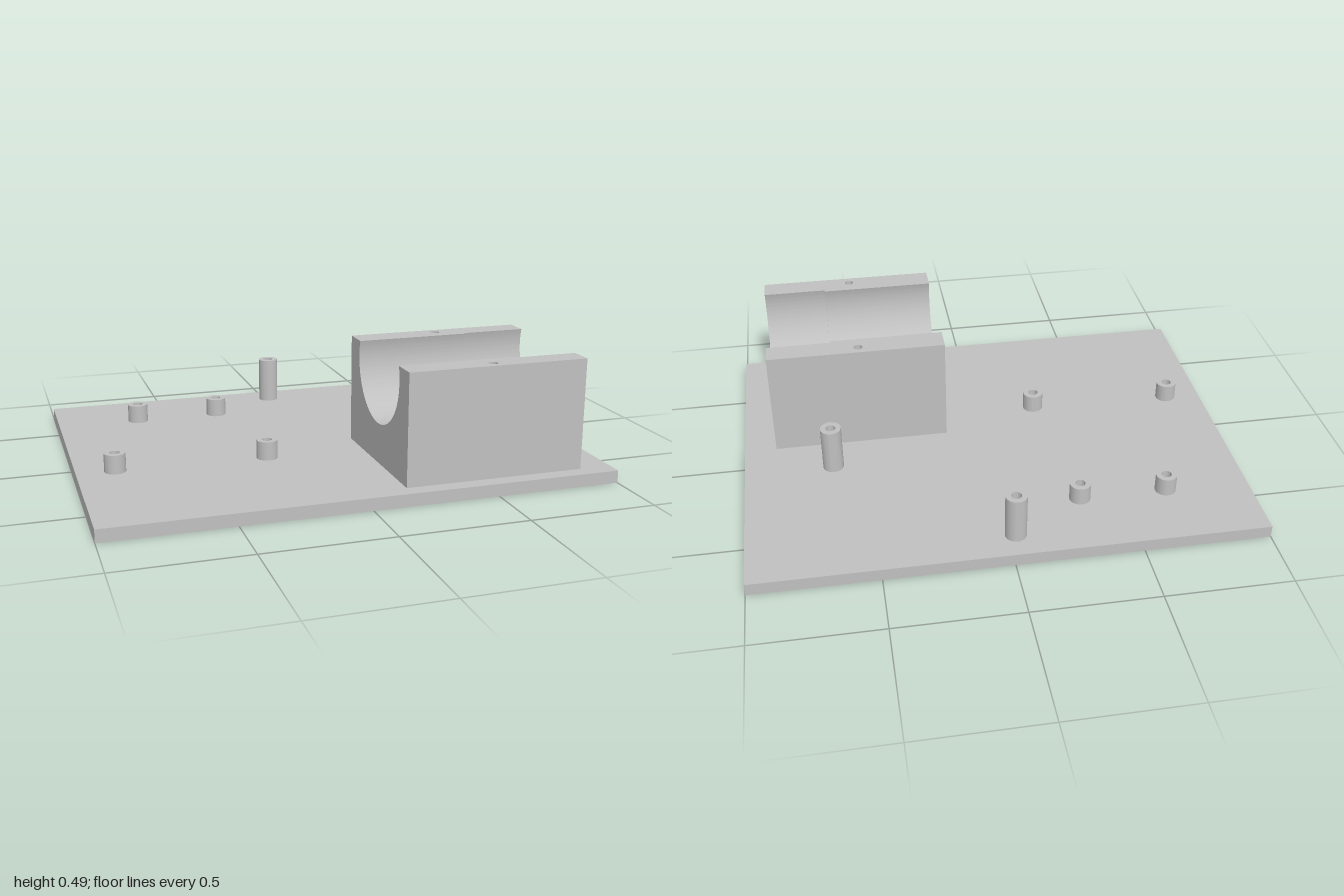
import * as THREE from 'three';
import { toCreasedNormals } from 'three/addons/utils/BufferGeometryUtils.js';

const grey = new THREE.MeshStandardMaterial({ color: 0xc0c0c0 });
grey.name = 'plain grey';

const PLATE = 0.05, TOP = 0.49, AXIS_Y = 0.43, HALF = 0.315;
const X0 = 0.15, X_STEP = 0.61, X1 = 0.87;
const R_SMALL = 0.22, R_LARGE = 0.23;

function add(parent, geometry, name, x = 0, y = 0, z = 0) {
  const mesh = new THREE.Mesh(geometry, grey);
  mesh.name = name;
  mesh.position.set(x, y, z);
  parent.add(mesh);
  return mesh;
}

// Removes the faces lying flat at the given height
function withoutTop(geometry, y) {
  const p = geometry.attributes.position, kept = [];
  for (let i = 0; i < p.count; i += 3) {
    if ([0, 1, 2].every(k => Math.abs(p.getY(i + k) - y) < 1e-5)) continue;
    for (let k = 0; k < 3; k++) kept.push(p.getX(i + k), p.getY(i + k), p.getZ(i + k));
  }
  const out = new THREE.BufferGeometry();
  out.setAttribute('position', new THREE.Float32BufferAttribute(kept, 3));
  return out;
}

// One length of the cradle block with a round bore open at the top
function cradleSection(radius, length) {
  const a = Math.asin((TOP - AXIS_Y) / radius);
  const shape = new THREE.Shape();
  shape.moveTo(-HALF, PLATE);
  shape.lineTo(HALF, PLATE);
  shape.lineTo(HALF, TOP);
  shape.absarc(0, AXIS_Y, radius, a, Math.PI - a, true);
  shape.lineTo(-HALF, TOP);
  const g = new THREE.ExtrudeGeometry(shape, { depth: length, bevelEnabled: false, curveSegments: 64 });
  g.rotateY(Math.PI / 2);
  return toCreasedNormals(withoutTop(g, TOP), 0.5);
}

// Hollow standoff
function postGeometry(height) {
  const shape = new THREE.Shape().absarc(0, 0, 0.042, 0, Math.PI * 2, false);
  shape.holes.push(new THREE.Path().absarc(0, 0, 0.02, 0, Math.PI * 2, true));
  const g = new THREE.ExtrudeGeometry(shape, { depth: height, bevelEnabled: false, curveSegments: 32 });
  g.rotateX(-Math.PI / 2);
  return toCreasedNormals(g, 0.5);
}

export function createModel() {
  const model = new THREE.Group();
  model.name = 'mountingPlate';

  add(model, new THREE.BoxGeometry(2, PLATE, 1.5), 'basePlate', 0, PLATE / 2, 0);

  // Standoffs: x, z, top height
  const posts = [
    [-0.66, -0.46, 0.125], [-0.31, -0.46, 0.125], [-0.85, 0.18, 0.125],
    [-0.25, 0.195, 0.125], [-0.02, -0.635, 0.24], [0.64, -0.095, 0.24],
  ];
  for (const [x, z, top] of posts) add(model, postGeometry(top - PLATE), 'standoff', x, PLATE, z);

  // Cradle with a stepped bore
  const cradle = new THREE.Group();
  cradle.name = 'cradle';
  cradle.position.z = 0.375;
  model.add(cradle);
  add(cradle, cradleSection(R_SMALL, X_STEP - X0), 'narrowBoreSection', X0);
  add(cradle, cradleSection(R_LARGE, X1 - X_STEP), 'wideBoreSection', X_STEP);

  // Top rims, each with a screw hole
  const opening = r => Math.sqrt(r * r - (TOP - AXIS_Y) ** 2);
  const wS = opening(R_SMALL), wL = opening(R_LARGE);
  const holeX = 0.5, holeZ = 0.275, holeR = 0.018, depth = 0.2;
  for (const s of [1, -1]) {
    const rim = new THREE.Shape([
      [X0, HALF], [X1, HALF], [X1, wL], [X_STEP, wL], [X_STEP, wS], [X0, wS],
    ].map(([x, z]) => new THREE.Vector2(x, -s * z)));
    rim.holes.push(new THREE.Path().absarc(holeX, -s * holeZ, holeR, 0, Math.PI * 2, true));
    const g = new THREE.ShapeGeometry(rim, 16);
    g.rotateX(-Math.PI / 2);
    add(cradle, g, 'topRim', 0, TOP, 0);

    const well = new THREE.LatheGeometry([
      new THREE.Vector2(holeR, 0), new THREE.Vector2(holeR, -depth), new THREE.Vector2(0, -depth),
    ], 32);
    add(cradle, toCreasedNormals(well, 0.5), 'screwHole', holeX, TOP, s * holeZ);
  }
  return model;
}
